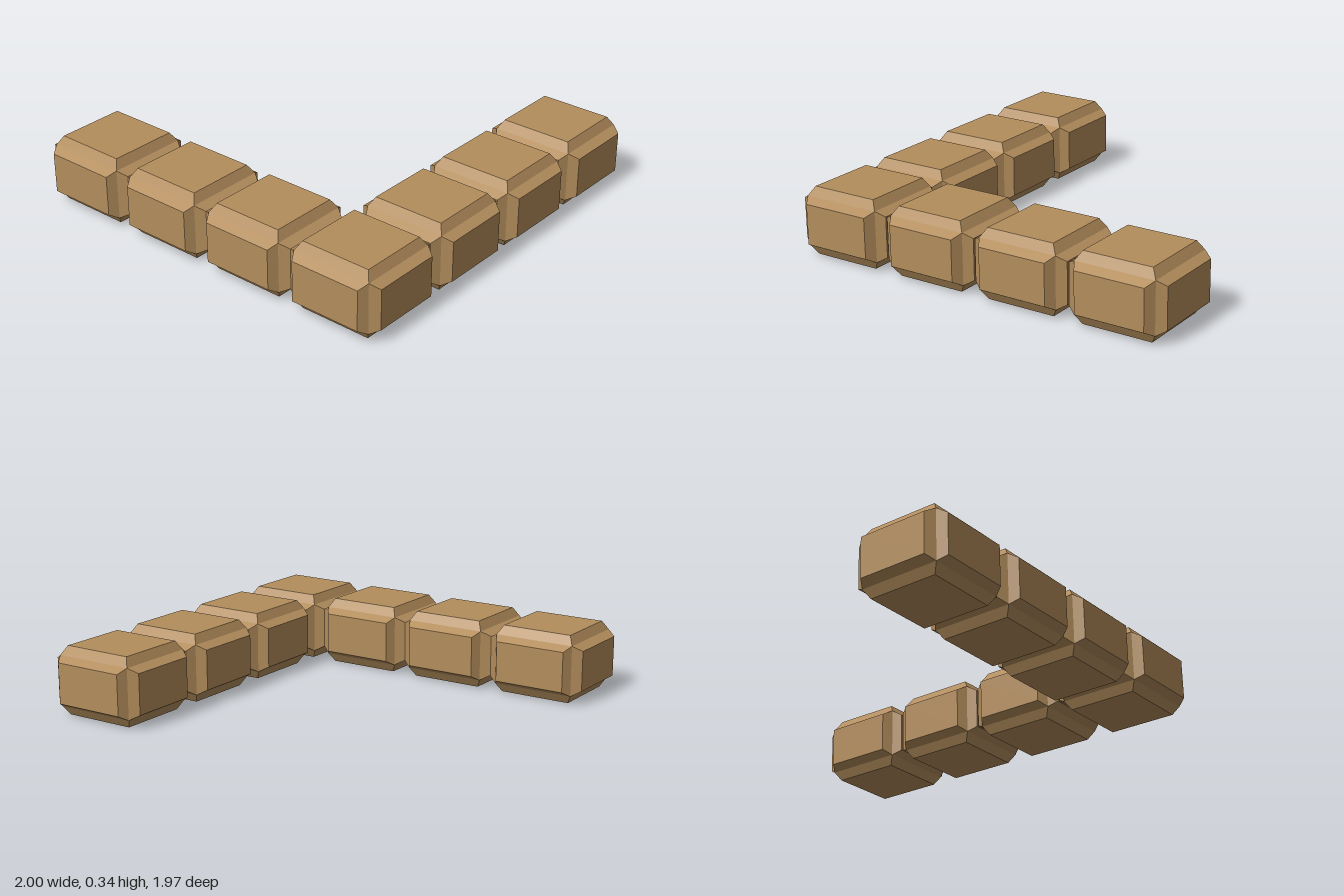
import * as THREE from 'three';

const outer = [0.25, 0.169, 0.243]; // half extents of the raised panels
const core = [0.205, 0.125, 0.2];   // half extents of the groove lines
const panel = [0.18, 0.1, 0.172];   // half sizes of the flat panel faces

// Block whose six faces are raised, tapered panels meeting in grooved edges
function blockGeometry() {
  const positions = [];
  const quad = (a, b, c, d) => positions.push(...a, ...b, ...c, ...a, ...c, ...d);
  const corners = [[-1, -1], [1, -1], [1, 1], [-1, 1]];

  for (let axis = 0; axis < 3; axis++) {
    for (const side of [-1, 1]) {
      const u = (axis + 1) % 3;
      const v = (axis + 2) % 3;
      const ring = (depth, size) => corners.map(([cu, cv]) => {
        const p = [0, 0, 0];
        p[axis] = side * depth[axis];
        p[u] = side * cu * size[u]; // mirrored with side to keep the winding outward
        p[v] = cv * size[v];
        return p;
      });
      const top = ring(outer, panel);
      const base = ring(core, core);
      quad(...top);
      for (let i = 0; i < 4; i++) {
        const j = (i + 1) % 4;
        quad(base[i], base[j], top[j], top[i]);
      }
    }
  }
  const geometry = new THREE.BufferGeometry();
  geometry.setAttribute('position', new THREE.Float32BufferAttribute(positions, 3));
  geometry.computeVertexNormals();
  return geometry;
}

export function createModel() {
  const model = new THREE.Group();
  model.name = 'cornerWall';
  const wood = new THREE.MeshStandardMaterial({ color: 0xb38d5c });
  wood.name = 'tan';
  const geometry = blockGeometry();
  const pitchX = 0.5;
  const pitchZ = 0.494;

  const addBlock = (name, column, row) => {
    const block = new THREE.Mesh(geometry, wood);
    block.name = name;
    block.position.set((column - 1.5) * pitchX, outer[1], (1.5 - row) * pitchZ);
    model.add(block);
  };

  // Front row, ending in the corner block
  for (let i = 0; i < 4; i++) addBlock(i === 3 ? 'cornerBlock' : `frontBlock${i + 1}`, i, 0);
  // Side row running back from the corner
  for (let i = 1; i < 4; i++) addBlock(`sideBlock${i}`, 3, i);

  return model;
}
